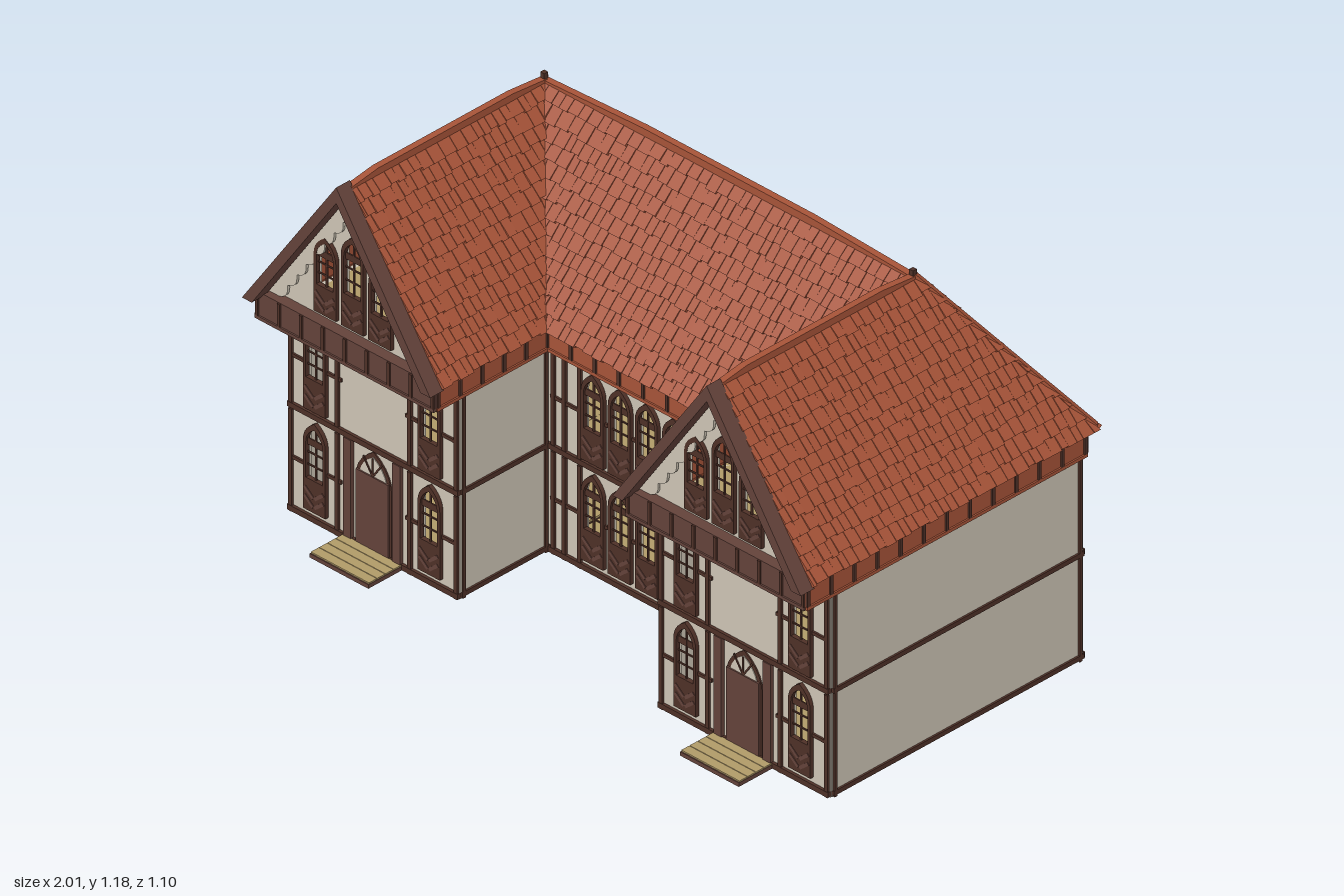
import * as THREE from 'three';
import { mergeGeometries } from 'three/addons/utils/BufferGeometryUtils.js';

const mat = (name, color, side = THREE.FrontSide) =>
  Object.assign(new THREE.MeshStandardMaterial({ color, side }), { name });
const M = {
  tile: mat('terracotta', 0xa65338),
  under: mat('roof underlay', 0x5a554a, THREE.DoubleSide),
  plaster: mat('plaster', 0xcdc4b4),
  timber: mat('dark timber', 0x4e3027),
  board: mat('brown board', 0x63423a),
  planks: mat('tan planks', 0xb09a68),
  base: mat('dark floor', 0x3f2721),
};
const V = (x, y, z) => new THREE.Vector3(x, y, z);
let seed = 7;
const rnd = () => (seed = (seed * 16807) % 2147483647) / 2147483647;

function add(parent, name, geo, m, x = 0, y = 0, z = 0) {
  const mesh = new THREE.Mesh(geo, m);
  mesh.name = name;
  mesh.position.set(x, y, z);
  parent.add(mesh);
  return mesh;
}
const box = (p, name, m, w, h, d, x, y, z) => add(p, name, new THREE.BoxGeometry(w, h, d), m, x, y, z);
const extrude = (shape, depth) => new THREE.ExtrudeGeometry(shape, { depth, bevelEnabled: false, curveSegments: 5 });
const poly = (pts) => new THREE.Shape(pts.map(([x, y]) => new THREE.Vector2(x, y)));

// square bar between two points
function beam(p, name, m, a, b, t) {
  const mesh = box(p, name, m, t, t, a.distanceTo(b), 0, 0, 0);
  mesh.position.copy(a).lerp(b, 0.5);
  mesh.lookAt(b);
}

// pointed arch outline
function arch(x, y, w, h, C = THREE.Shape) {
  const s = new C(), k = y + h - w * 0.8, c = y + h - w * 0.3;
  s.moveTo(x - w / 2, y);
  s.lineTo(x + w / 2, y);
  s.lineTo(x + w / 2, k);
  s.quadraticCurveTo(x + w / 2, c, x, y + h);
  s.quadraticCurveTo(x - w / 2, c, x - w / 2, k);
  return s;
}

// arched window with a panelled foot and glazing bars
function addWindow(p, x, y, h) {
  const frame = arch(0, 0, 0.08, h);
  frame.holes.push(arch(0, h * 0.36, 0.06, h * 0.57, THREE.Path));
  const bars = [0.5, 0.64].map((f) => new THREE.BoxGeometry(0.06, 0.004, 0.004).translate(0, h * f, 0.006));
  bars.push(new THREE.BoxGeometry(0.005, h * 0.56, 0.005).translate(0, h * 0.63, 0.006));
  bars.push(new THREE.BoxGeometry(0.06, 0.02, 0.004).translate(0, h * 0.76, 0.006));
  const geo = mergeGeometries([extrude(frame, 0.014), ...bars.map((b) => b.toNonIndexed())]);
  add(p, 'windowFrame', geo, M.timber, x, y, -0.002);
  for (const s of [-1, 1]) for (const k of [0.1, 0.2]) {
    box(p, 'windowChevron', M.board, 0.04, 0.01, 0.004, x + s * 0.018, y + h * k + 0.003, 0.012).rotation.z = s * 0.7;
  }
}

// plastered, timber framed wall facing local +z
function facade(parent, name, x0, x1, wins, posts, rails, z, turn = 0) {
  const g = new THREE.Group();
  g.name = name;
  g.position.z = z;
  g.rotation.y = turn;
  parent.add(g);
  const shape = poly([[x0, 0], [x1, 0], [x1, 0.63], [x0, 0.63]]);
  for (const [x, y, h] of wins) shape.holes.push(arch(x, y + 0.005, 0.07, h - 0.01, THREE.Path));
  add(g, 'plasterWall', extrude(shape, 0.014), M.plaster, 0, 0, -0.014);
  for (const [x, y, h] of wins) addWindow(g, x, y, h);
  for (const y of [0.01, 0.323, 0.618]) box(g, 'mainBeam', M.timber, x1 - x0, 0.016, 0.018, (x0 + x1) / 2, y, 0);
  for (const x of posts) for (const f of [0, 0.315]) {
    const hit = wins.some(([wx, wy]) => Math.abs(wx - x) < 0.046 && wy >= f && wy < f + 0.31);
    if (!hit) box(g, 'post', M.timber, 0.013, 0.31, 0.012, x, f + 0.155, 0.002);
  }
  // rails stop at the windows
  for (const [a, b, y] of rails) {
    const cuts = wins.filter(([wx, wy, h]) => wx > a && wx < b && y > wy && y < wy + h).map((w) => w[0]).sort((p, q) => p - q);
    let s = a;
    for (const c of [...cuts, b + 0.04]) {
      const e = c - 0.04;
      if (e - s > 0.004) box(g, 'rail', M.timber, e - s, 0.01, 0.012, (s + e) / 2, y, 0);
      s = c + 0.04;
    }
  }
  return g;
}

// plain wall along z, facing sideways
function sideWall(p, name, x, s, z0, z1) {
  const c = (z0 + z1) / 2, d = z1 - z0;
  box(p, name, M.plaster, 0.014, 0.63, d, x - s * 0.007, 0.315, c);
  for (const y of [0.012, 0.323, 0.618]) box(p, 'sideBeam', M.timber, 0.012, 0.014, d, x, y, c);
  for (const z of [z0 + 0.012, z1 - 0.008]) box(p, 'sidePost', M.timber, 0.012, 0.62, 0.01, x, 0.31, z);
}

// roof slope: eave corners a, b and ridge corners c, d, covered with ragged tile rows
function slope(p, name, a, b, c, d) {
  const e = b.clone().sub(a).normalize();
  const n = e.clone().cross(d.clone().sub(a)).normalize();
  const sheet = new THREE.BufferGeometry().setFromPoints([a, b, c, a, c, d]);
  sheet.computeVertexNormals();
  add(p, name + 'Underlay', sheet, M.under);
  const out = [], rows = 13;
  const quad = (i, j, k, l) => out.push(i, j, k, i, k, l);
  for (let r = 0; r < rows; r++) {
    const v1 = Math.min((r + 1.25) / rows, 1);
    const at = (s, v, h) => {
      const L = a.clone().lerp(d, v), R = b.clone().lerp(c, v);
      const l = L.clone().sub(a).dot(e), q = R.clone().sub(a).dot(e);
      return L.addScaledVector(e, Math.min(Math.max(s, l), q) - l).addScaledVector(n, h);
    };
    const l = Math.min(0, d.clone().sub(a).dot(e)), end = Math.max(a.distanceTo(b), c.clone().sub(a).dot(e));
    for (let s = l - rnd() * 0.03; s < end;) {
      const t = s + 0.022 + rnd() * 0.022;
      const v0 = Math.max((r - 0.22 * rnd()) / rows, -0.01), g = t - 0.0015, h = 0.013 + rnd() * 0.004;
      const [A, B, C, D] = [at(s, v0, h), at(g, v0, h), at(g, v1, 0.004), at(s, v1, 0.004)];
      const [E, F, G, H] = [at(s, v0, 0.001), at(g, v0, 0.001), at(g, v1, 0.001), at(s, v1, 0.001)];
      s = t;
      if (A.distanceTo(B) + C.distanceTo(D) < 0.002) continue;
      quad(A, B, C, D);
      quad(E, F, B, A);
      quad(F, G, C, B);
      quad(H, E, A, D);
    }
  }
  const geo = new THREE.BufferGeometry().setFromPoints(out);
  geo.computeVertexNormals();
  add(p, name + 'Tiles', geo, M.tile);
}

// eave board with dark brackets; along x, or along z when turned
function eaveBand(p, name, m, len, x, z, turn) {
  const g = new THREE.Group();
  g.name = name;
  g.position.set(x, 0.664, z);
  g.rotation.y = turn;
  p.add(g);
  box(g, 'eaveBoard', m, len, 0.078, 0.012, 0, 0, 0);
  box(g, 'eaveRail', m, len, 0.01, 0.018, 0, -0.036, 0.002);
  const n = Math.round(len / 0.085);
  for (let i = 0; i <= n; i++) box(g, 'bracket', M.timber, 0.01, 0.07, 0.014, (i / n - 0.5) * (len - 0.012), 0.003, 0.004);
}

export function createModel() {
  const root = new THREE.Group();
  root.name = 'timberFramedHouse';
  const G = 0.035, U = 0.34, H = 0.27, PI = Math.PI;

  // central front
  const five = [-2, -1, 0, 1, 2].map((i) => i * 0.097);
  facade(root, 'centralFront', -0.36, 0.36, five.flatMap((x) => [[x, G, H], [x, U, H]]),
    [-0.34, -0.3, -0.245, 0.245, 0.3, 0.34], [[-0.35, 0.35, 0.165], [-0.35, 0.35, 0.475]], 0.08);
  eaveBand(root, 'centralEave', M.tile, 0.7, 0, 0.095, 0);

  // back
  const six = [-0.8, -0.7, -0.6, 0.6, 0.7, 0.8];
  const backWins = [...six.flatMap((x) => [[x, G, H], [x, U, H]]), ...[-0.1, 0, 0.1].map((x) => [x, G, H])];
  const studs = Array.from({ length: 31 }, (_, i) => (i - 15) * 0.0638);
  facade(root, 'backWall', -0.97, 0.97, backWins, studs, [[-0.965, 0.965, 0.165], [-0.965, 0.965, 0.475]], -0.51, PI);
  eaveBand(root, 'backEave', M.tile, 1.95, 0, -0.515, PI);

  // floors
  for (const [y, m] of [[0.005, M.base], [0.32, M.planks], [0.625, M.planks]]) {
    box(root, 'centralFloor', M.planks, 0.72, 0.01, 0.57, 0, y, -0.215);
    for (const s of [-1, 1]) box(root, 'wingFloor', m, 0.6, 0.01, 0.89, s * 0.6605, y, -0.055);
  }

  for (const s of [-1, 1]) {
    const wing = new THREE.Group();
    wing.name = s > 0 ? 'leftWing' : 'rightWing';
    root.add(wing);
    box(wing, 'wingFloorPlanks', M.planks, 0.59, 0.006, 0.88, s * 0.6605, 0.013, -0.055);

    // wing front
    const f = facade(wing, 'wingFront', -0.305, 0.305,
      [-0.205, 0.205].flatMap((x) => [[x, G, H], [x, U, H]]), [-0.296, -0.13, 0.13, 0.296],
      [[-0.3, -0.115, 0.165], [-0.3, -0.115, 0.475], [0.115, 0.3, 0.165], [0.115, 0.3, 0.475]], 0.405);
    f.position.x = s * 0.663;
    for (const x of [-0.088, 0.088]) box(f, 'doorPost', M.board, 0.028, 0.305, 0.018, x, 0.1625, 0.003);
    add(f, 'doorFrame', extrude(arch(0, 0.01, 0.13, 0.3), 0.004), M.timber);
    add(f, 'fanlight', extrude(arch(0, 0.2, 0.1, 0.095), 0.006), M.plaster);
    for (const r of [-0.6, 0, 0.6]) box(f, 'fanlightBar', M.timber, 0.005, 0.06, 0.003, -Math.sin(r) * 0.03, 0.262, 0.007).rotation.z = r;
    box(f, 'door', M.board, 0.116, 0.225, 0.012, 0, 0.125, 0.004);
    box(f, 'step', M.board, 0.21, 0.012, 0.125, 0, 0.007, 0.067);
    for (let i = 0; i < 4; i++) box(f, 'stepPlank', M.planks, 0.208, 0.004, 0.028, 0, 0.015, 0.022 + i * 0.03);

    // side walls and eaves
    sideWall(wing, 'outerWall', s * 0.97, s, -0.51, 0.4);
    sideWall(wing, 'innerWall', s * 0.36, -s, 0.08, 0.4);
    eaveBand(wing, 'outerEave', M.tile, 1.02, s * 0.978, 0, s * PI / 2);
    eaveBand(wing, 'innerEave', M.tile, 0.41, s * 0.35, 0.3, -s * PI / 2);

    // jettied gable
    box(wing, 'jetty', M.board, 0.62, 0.075, 0.11, s * 0.663, 0.6635, 0.447);
    eaveBand(wing, 'jettyFront', M.board, 0.64, s * 0.663, 0.505, 0);
    const gable = new THREE.Group();
    gable.name = 'gable';
    gable.position.set(s * 0.663, 0, 0.475);
    wing.add(gable);
    const tri = poly([[-0.315, 0.7], [0.315, 0.7], [0, 1.145]]);
    const lights = [[-0.098, 0.715, 0.235], [0, 0.715, 0.28], [0.098, 0.715, 0.235]];
    for (const [x, y, h] of lights) tri.holes.push(arch(x, y + 0.005, 0.07, h - 0.01, THREE.Path));
    add(gable, 'gableWall', extrude(tri, 0.014), M.plaster, 0, 0, -0.014);
    for (const [x, y, h] of lights) addWindow(gable, x, y, h);
    // scalloped trim below the verge
    const wave = [];
    for (let i = 0; i <= 48; i++) {
      const t = i / 48, w = 0.014 * Math.abs(Math.sin(t * 8 * PI));
      wave.push([0.265 * (1 - t) - w * 0.8, 0.7 + 0.375 * t - w * 0.6]);
    }
    const inner = [...wave, ...wave.slice(0, -1).reverse().map(([x, y]) => [-x, y])];
    add(gable, 'scallopTrim', extrude(poly([[-0.315, 0.7], ...inner.reverse(), [0.315, 0.7], [0, 1.145]]), 0.008), M.plaster, 0, 0, 0.003);
    const verge = poly([[0.337, 0.69], [0, 1.176], [-0.337, 0.69], [-0.302, 0.69], [0, 1.128], [0.302, 0.69]]);
    add(gable, 'bargeboard', extrude(verge, 0.05), M.board, 0, 0, 0.02);

    // wing roof, ordered so that each slope faces outward
    const P = (x, y, z) => V(s * x, y, z);
    const outer = [P(0.99, 0.695, 0.5), P(0.99, 0.695, -0.54), P(0.66, 1.16, -0.21), P(0.66, 1.16, 0.5)];
    const inside = [P(0.336, 0.695, 0.114), P(0.336, 0.695, 0.5), P(0.66, 1.16, 0.5), P(0.66, 1.16, -0.21)];
    for (const [name, q] of [['outerSlope', outer], ['innerSlope', inside]]) {
      slope(wing, name, ...(s > 0 ? q : [q[1], q[0], q[3], q[2]]));
    }
    const cap = extrude(poly([[-0.355, 1.15], [0.355, 1.15], [0.355, 1.165], [0.23, 1.177], [-0.26, 1.177], [-0.355, 1.163]]), 0.02);
    add(wing, 'wingRidge', cap.translate(0, 0, -0.01).rotateY(PI / 2), M.tile, s * 0.66, 0, 0.145);
    beam(wing, 'hipCap', M.tile, P(0.66, 1.163, -0.21), P(0.988, 0.703, -0.538), 0.018);
    box(wing, 'ridgeKnob', M.timber, 0.014, 0.035, 0.014, s * 0.66, 1.165, -0.208);
  }

  // main roof
  slope(root, 'frontSlope', V(-0.336, 0.695, 0.114), V(0.336, 0.695, 0.114), V(0.66, 1.16, -0.21), V(-0.66, 1.16, -0.21));
  slope(root, 'backSlope', V(0.99, 0.695, -0.54), V(-0.99, 0.695, -0.54), V(-0.66, 1.16, -0.21), V(0.66, 1.16, -0.21));
  const ridge = poly([[-0.66, 1.15], [0.66, 1.15], [0.66, 1.163], [0.3, 1.179], [-0.3, 1.179], [-0.66, 1.163]]);
  add(root, 'mainRidge', extrude(ridge, 0.02), M.tile, 0, 0, -0.22);
  return root;
}
